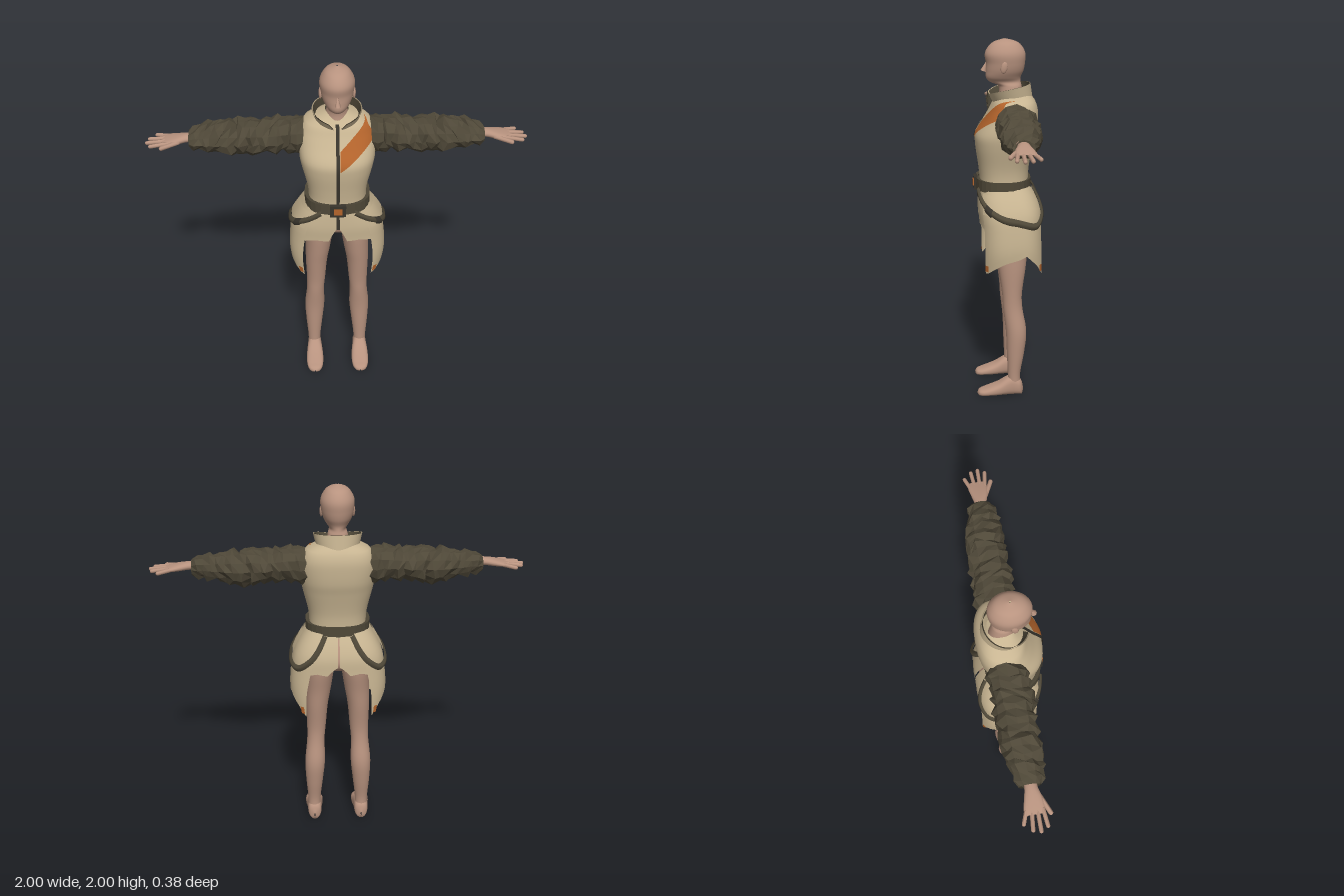
import * as THREE from 'three';
import { mergeVertices } from 'three/addons/utils/BufferGeometryUtils.js';

const lerp = THREE.MathUtils.lerp, RAD = Math.PI / 180;
const paint = (name, color, side = THREE.FrontSide) =>
  Object.assign(new THREE.MeshStandardMaterial({ color, side }), { name });

// Cross-sections: [height, half width, front z, back z, roundness (2 = ellipse), centre x]
const TORSO = [[1.73, .06, .04, -.09], [1.7, .115, .06, -.115], [1.675, .165, .085, -.135], [1.63, .19, .108, -.15],
  [1.58, .2, .137, -.152], [1.5, .2, .185, -.145], [1.44, .19, .188, -.13], [1.32, .162, .172, -.105],
  [1.25, .155, .165, -.1], [1.18, .16, .165, -.1]].map(r => [...r, 2.5, 0]);
const SKIRT = [[1.22, .16, .165, -.1], [1.15, .205, .172, -.14], [1.08, .238, .175, -.165], [1, .252, .17, -.17],
  [.87, .26, .172, -.178], [.73, .238, .175, -.19]].map(r => [...r, 2.8, 0]);
const HIPS = [[1.2, .145, .13, -.09], [1.08, .175, .125, -.14], [1.02, .165, .11, -.135], [.98, .1, .06, -.08], [.965, .002, .01, -.01]];
const HEAD = [[2, .004, .03, .02], [1.985, .047, .08, -.035], [1.96, .072, .112, -.066], [1.92, .089, .132, -.085],
  [1.87, .086, .126, -.083], [1.83, .077, .127, -.075], [1.795, .06, .126, -.06], [1.772, .045, .108, -.06],
  [1.75, .052, .06, -.065], [1.64, .072, .07, -.085]];
const LEG = [[1.08, .08, .09, -.115, 2, .09], [.98, .079, .098, -.115, 2, .098], [.85, .07, .085, -.092, 2, .108],
  [.75, .062, .07, -.08, 2, .117], [.6, .053, .05, -.06, 2, .122], [.52, .05, .045, -.063, 2, .126],
  [.38, .057, .03, -.085, 2, .132], [.25, .048, .025, -.072, 2, .136], [.12, .036, .02, -.05, 2, .138], [.04, .036, .02, -.055, 2, .138]];
// Along the foot (z) and along the arm (x), turned into place afterwards
const FOOT = [[.193, .004, -.008, -.016], [.185, .028, 0, -.03], [.15, .046, 0, -.042], [.08, .05, 0, -.07],
  [0, .041, 0, -.115], [-.045, .037, 0, -.095], [-.062, .022, 0, -.07], [-.067, .003, -.02, -.04]].map(r => [...r, 2.5, .137]);
const SLEEVE = [[.77, .04, .05, -.06, 2, -1.572], [.7, .063, .068, -.088, 2, -1.575], [.6, .08, .08, -.108, 2, -1.575],
  [.48, .093, .085, -.115, 2, -1.572], [.35, .083, .085, -.115, 2, -1.578], [.25, .094, .082, -.12, 2, -1.582], [.16, .09, .07, -.12, 2, -1.582]];
const HAND = [[.91, .008, .042, -.052, 2.6, -1.565], [.88, .013, .048, -.055, 2.6, -1.568], [.83, .019, .044, -.045, 2.4, -1.574],
  [.78, .022, .03, -.035, 2, -1.58], [.72, .025, .03, -.035, 2, -1.58]];

// Smooth interpolation between the cross-sections
function section(rows, y) {
  let i = 0;
  while (i < rows.length - 2 && y < rows[i + 1][0]) i++;
  const get = j => rows[THREE.MathUtils.clamp(j, 0, rows.length - 1)];
  const [p, a, b, q] = [get(i - 1), get(i), get(i + 1), get(i + 2)], h = b[0] - a[0];
  const t = THREE.MathUtils.clamp((y - a[0]) / h, 0, 1), t2 = t * t, t3 = t2 * t;
  const value = (k, d) => {
    const A = a[k] ?? d, B = b[k] ?? d;
    const mA = (B - (p[k] ?? d)) / (b[0] - p[0]) * h, mB = ((q[k] ?? d) - A) / (q[0] - a[0]) * h;
    return (2 * t3 - 3 * t2 + 1) * A + (t3 - 2 * t2 + t) * mA + (3 * t2 - 2 * t3) * B + (t3 - t2) * mB;
  };
  return { rx: Math.max(value(1), .001), zf: value(2), zb: value(3), n: value(4, 2), cx: value(5, 0) };
}
const bend = (v, n) => Math.sign(v) * Math.abs(v) ** (2 / n);

// Point on a body surface; the angle runs from the front (0) past +x (90) to the back (180)
function surface(rows, deg, y, off = 0) {
  const s = section(rows, y), a = deg * RAD;
  return [s.cx + (s.rx + off) * bend(Math.sin(a), s.n), y, (s.zf + s.zb) / 2 + ((s.zf - s.zb) / 2 + off) * bend(Math.cos(a), s.n)];
}

// Grid of points; u runs around, v runs from top to bottom
function grid(nu, nv, fn) {
  const pos = [], idx = [];
  for (let j = 0; j <= nv; j++) for (let i = 0; i <= nu; i++) {
    pos.push(...fn(i / nu, j / nv));
    if (i < nu && j < nv) {
      const a = j * (nu + 1) + i, b = a + nu + 1;
      idx.push(a, b, a + 1, b, b + 1, a + 1);
    }
  }
  let g = new THREE.BufferGeometry();
  g.setAttribute('position', new THREE.Float32BufferAttribute(pos, 3));
  g.setIndex(idx);
  g = mergeVertices(g, 1e-5);
  g.computeVertexNormals();
  return g;
}
const loft = (rows, nu = 28, nv = 40) =>
  grid(nu, nv, (u, v) => surface(rows, (u % 1) * 360, lerp(rows[0][0], rows.at(-1)[0], v)));

// Cloth panel from the waist down to a hem of [angle, height] points
const panel = (top0, top1, hem, off) => grid(30, 12, (u, v) => {
  const f = u * (hem.length - 1), i = Math.min(Math.floor(f), hem.length - 2), t = f - i;
  return surface(SKIRT, lerp(lerp(top0, top1, u), lerp(hem[i][0], hem[i + 1][0], t), v),
    lerp(1.215, lerp(hem[i][1], hem[i + 1][1], t), v), off);
});
const plate = (a0, a1, yTop, yLow, off) => panelPlate(SKIRT, a0, a1, yTop, yLow, off);
const panelPlate = (rows, a0, a1, yTop, yLow, off) =>
  grid(8, 8, (u, v) => surface(rows, lerp(a0, a1, u), lerp(yTop, yLow, v), off));

function mirror(geo) {
  const g = geo.clone();
  const p = g.attributes.position;
  for (let i = 0; i < p.count; i++) p.setX(i, -p.getX(i));
  g.index.array.reverse();
  g.computeVertexNormals();
  return g;
}
function flat(geo) {
  const g = geo.toNonIndexed();
  g.computeVertexNormals();
  return g;
}
function finger(a, b, r) {
  const p = new THREE.Vector3(...a), d = new THREE.Vector3(...b).sub(p);
  const g = new THREE.CapsuleGeometry(r, d.length() - r, 4, 8);
  g.applyQuaternion(new THREE.Quaternion().setFromUnitVectors(new THREE.Vector3(0, 1, 0), d.clone().normalize()));
  return g.translate(...p.addScaledVector(d, .5).toArray());
}

export function createModel() {
  const model = new THREE.Group();
  const skin = paint('skin', 0xb8937f), tan = paint('tanCloth', 0xc8b592, THREE.DoubleSide);
  const olive = paint('oliveCloth', 0x4f4838, THREE.DoubleSide), orange = paint('orangeTrim', 0xb4642c, THREE.DoubleSide);
  const dark = paint('darkZip', 0x38342c, THREE.DoubleSide);
  const add = (name, geo, mat) => {
    const m = new THREE.Mesh(geo, mat);
    m.name = name;
    model.add(m);
  };
  const pair = (name, geo, mat, finish = g => g) => {
    add('left' + name, finish(geo), mat);
    add('right' + name, finish(mirror(geo)), mat);
  };

  // Body
  add('headAndNeck', loft(HEAD, 32, 64), skin);
  add('nose', new THREE.ConeGeometry(.016, .055, 8).rotateX(-.3).translate(0, 1.855, .132), skin);
  pair('Ear', new THREE.SphereGeometry(1, 12, 8).scale(.009, .032, .018).rotateX(-.2).translate(.085, 1.855, .035), skin);
  add('hips', loft(HIPS), skin);
  pair('Leg', loft(LEG), skin);
  pair('Foot', loft(FOOT).rotateX(Math.PI / 2), skin);
  pair('Palm', loft(HAND, 16, 14).rotateZ(-Math.PI / 2), skin);
  [['IndexFinger', .036, .98, .048], ['MiddleFinger', .01, 1, .012], ['RingFinger', -.017, .99, -.026], ['LittleFinger', -.042, .955, -.066]]
    .forEach(([name, z, x, tip]) => pair(name, finger([.88, 1.568, z], [x - .006, 1.558, tip], .0105), skin));
  pair('Thumb', finger([.82, 1.572, .03], [.915, 1.56, .073], .012), skin);

  // Jacket body, zip and diagonal stripe
  add('jacketBody', loft(TORSO, 40, 40), tan);
  const onChest = (x, y, off) => {
    const s = section(TORSO, y);
    return surface(TORSO, Math.asin(Math.min(1, x / s.rx) ** (s.n / 2)) / RAD, y, off);
  };
  add('chestStripe', grid(24, 12, (u, v) =>
    onChest(lerp(.012, lerp(.145, .192, v), u), lerp(lerp(1.568, 1.69, u), lerp(1.47, 1.605, u), v), .004)), orange);
  const zip = (rows, top, low) => grid(2, 24, (u, v) => {
    const y = lerp(top, low, v);
    return [(u - .5) * .018, y, section(rows, y).zf + .006];
  });
  add('zip', zip(TORSO, 1.69, 1.24), dark);
  add('lowerZip', zip(SKIRT, 1.2, 1.09), dark);

  // Open flared collar with lining
  const collar = off => grid(48, 6, (u, v) => {
    const open = lerp(22, 7, v), deg = lerp(open, 360 - open, u), a = deg * RAD;
    const y = lerp(1.7 + .065 * Math.sin(a / 2), 1.66, v);
    const zf = lerp(.122, .088, v), zb = lerp(-.112, -.128, v);
    return [(lerp(.13, .108, v) - off) * Math.sin(a), y, (zf + zb) / 2 + ((zf - zb) / 2 - off) * Math.cos(a)];
  });
  add('collar', collar(0), tan);
  add('collarLining', collar(.006), olive);

  // Crumpled sleeves
  let seed = 7;
  const rand = () => (seed = (seed * 16807) % 2147483647) / 2147483647 - .5;
  const SIDES = 12, RINGS = 20;
  const folds = Array.from({ length: (SIDES + 1) * (RINGS + 1) }, () => [rand() * .026, rand() * .03]);
  const sleeve = grid(SIDES, RINGS, (u, v) => {
    const i = Math.round(u * SIDES) % SIDES, j = Math.round(v * RINGS), [bump, slide] = folds[j * SIDES + i];
    const calm = j === 0 ? 0 : 1;
    return surface(SLEEVE, i * 360 / SIDES, lerp(.77, .17, v) + slide * calm, (bump + (j % 2 ? .007 : -.006)) * calm);
  }).rotateZ(-Math.PI / 2);
  pair('Sleeve', sleeve, olive, flat);
  pair('CuffClosure', new THREE.CircleGeometry(.042, 12).rotateY(Math.PI / 2).translate(.765, 1.572, -.005), olive);

  // Jacket tails: short front and back, long pointed sides
  pair('FrontTail', panel(.3, 42, [[.3, 1.09], [6, 1], [20, 1.005], [40, .99]], 0), tan);
  pair('BackTail', panel(138, 179.7, [[138, .98], [160, 1], [172, .99], [179.7, 1.04]], 0), tan);
  pair('SideTail', panel(34, 160, [[42, .75], [49, .755], [75, .81], [105, .865], [126, .8], [140, .74]], .006), tan);
  pair('PocketFlap', plate(40, 98, 1.19, 1.085, .014), tan);
  pair('FrontTailTab', plate(42.5, 51, .8, .765, .01), orange);
  pair('BackTailTab', plate(132, 139, .8, .76, .01), orange);

  // Belt, buckle and hanging straps
  const BELT = [[1.195, 0], [1.25, 0], [1.255, .02], [1.195, .02], [1.19, 0]];
  add('belt', flat(grid(28, 4, (u, v) => {
    const [y, off] = BELT[Math.round(v * 4)], a = (u % 1) * 2 * Math.PI;
    return [(.156 + off) * bend(Math.sin(a), 2.5), y, .036 + (.13 + off) * bend(Math.cos(a), 2.5)];
  })), olive);
  add('buckleFrame', new THREE.BoxGeometry(.085, .07, .02).translate(0, 1.222, .187), dark);
  add('buckleCentre', new THREE.BoxGeometry(.045, .036, .008).translate(0, 1.222, .199), orange);
  const path = new THREE.SplineCurve([[20, 1.2], [40, 1.145], [70, 1.09], [100, 1.045], [128, 1.025], [148, 1.07], [158, 1.13], [164, 1.21]]
    .map(([a, y]) => new THREE.Vector2(a * .0045, y)));
  const strap = (t0, t1, width, off) => grid(40, 3, (u, v) => {
    const t = lerp(t0, t1, u), p = path.getPoint(t), d = path.getTangent(t), w = (.5 - v) * width;
    return surface(SKIRT, (p.x - d.y * w) / .0045, p.y + d.x * w, off + (v > 0 && v < 1 ? .01 : 0));
  });
  pair('Strap', strap(0, 1, .038, .014), olive);
  pair('StrapBuckle', strap(.2, .26, .046, .02), dark);
  return model;
}
